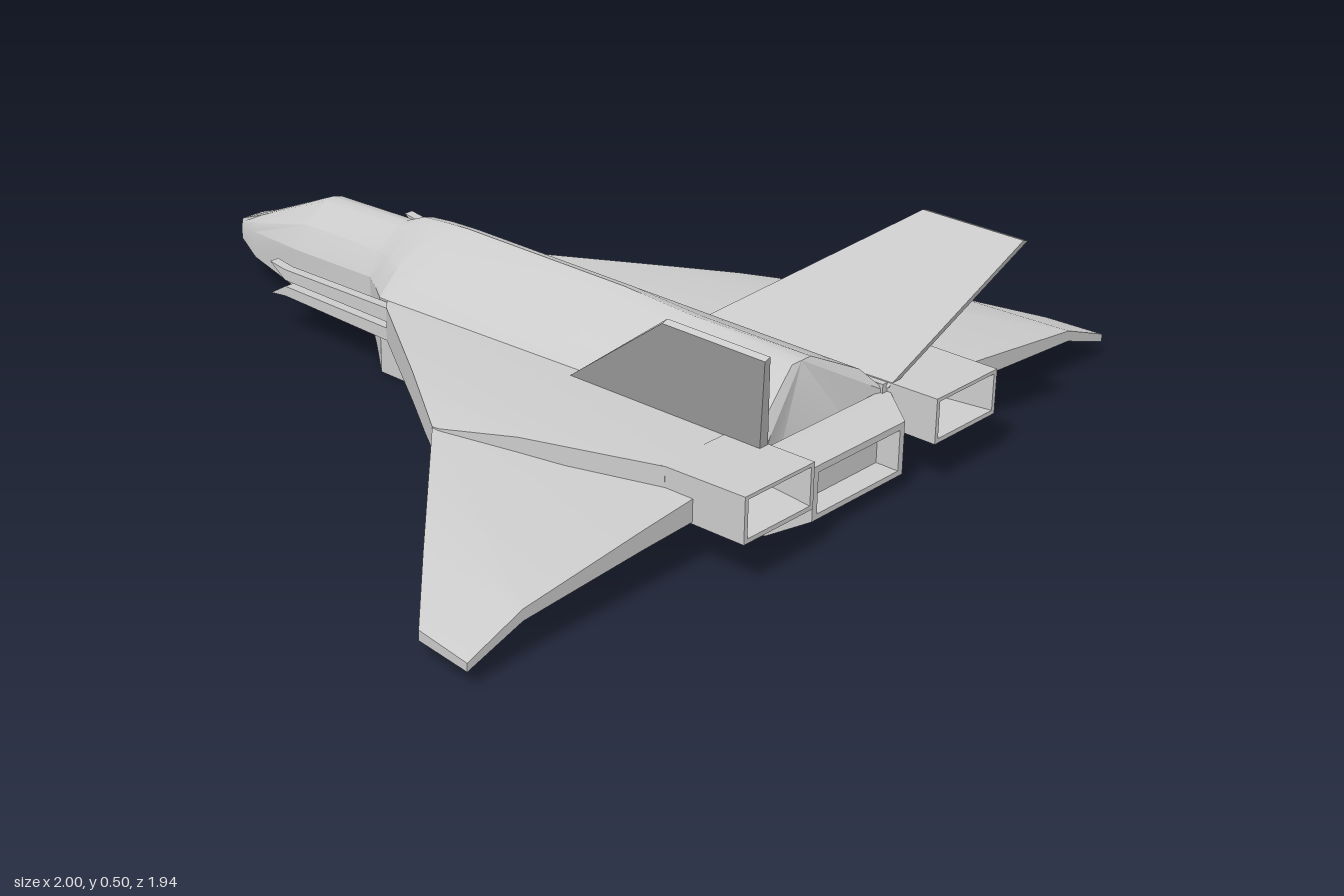
import * as THREE from 'three';
import { toCreasedNormals } from 'three/addons/utils/BufferGeometryUtils.js';

const material = new THREE.MeshStandardMaterial({ color: 0xcccccc });

// Skin a list of closed rings (arrays of [x, y, z]) and cap both ends, facing outward.
function loft(name, rings, crease = 0.45) {
  const tris = [];
  const n = rings[0].length;
  for (let i = 0; i < rings.length - 1; i++) {
    for (let j = 0; j < n; j++) {
      const k = (j + 1) % n;
      const [a, b, c, d] = [rings[i][j], rings[i][k], rings[i + 1][k], rings[i + 1][j]];
      tris.push([a, b, c], [a, c, d]);
    }
  }
  const last = rings[rings.length - 1];
  for (let j = 1; j < n - 1; j++) {
    tris.push([rings[0][0], rings[0][j + 1], rings[0][j]]);
    tris.push([last[0], last[j], last[j + 1]]);
  }
  // signed volume tells whether the winding must be reversed
  const v = (p) => new THREE.Vector3(...p);
  const volume = tris.reduce((s, [a, b, c]) => s + v(a).dot(v(b).cross(v(c))), 0);
  if (volume < 0) tris.forEach((t) => t.reverse());
  const geometry = new THREE.BufferGeometry();
  geometry.setAttribute('position', new THREE.Float32BufferAttribute(tris.flat(2), 3));
  const mesh = new THREE.Mesh(toCreasedNormals(geometry, crease), material);
  mesh.name = name;
  return mesh;
}

// Rectangle in the xy plane
const rect = (x0, x1, y0, y1, z) => [[x0, y0, z], [x1, y0, z], [x1, y1, z], [x0, y1, z]];

// Symmetric hull ring from its right half: ridge to bottom corner, z may vary per point
function hullRing(z, half) {
  const right = half.map(([x, y, pz = z]) => [x, y, pz]);
  const left = right.slice(1).reverse().map(([x, y, pz]) => [-x, y, pz]);
  return [...right, ...left];
}

function fuselage() {
  const body = (top) => [[0, top], [0.03, top - 0.01], [0.145, 0.235], [0.195, 0.18], [0.195, 0]];
  return loft('fuselage', [
    hullRing(-0.97, [[0, 0.14], [0.03, 0.14], [0.032, 0.13], [0.034, 0.12], [0.034, 0.09]]),
    hullRing(-0.9, [[0, 0.168], [0.027, 0.166], [0.043, 0.15], [0.053, 0.13], [0.053, 0.065]]),
    hullRing(-0.67, [[0, 0.268], [0.025, 0.262], [0.085, 0.22], [0.115, 0.165], [0.115, 0.065]]),
    hullRing(-0.42, [[0, 0.275], [0.025, 0.27], [0.085, 0.225], [0.115, 0.17], [0.115, 0.065]]),
    hullRing(-0.36, [[0, 0.3], [0.028, 0.292], [0.11, 0.232], [0.153, 0.175], [0.153, 0.033]]),
    hullRing(-0.3, [[0, 0.305], [0.03, 0.297], [0.14, 0.235], [0.195, 0.18], [0.195, 0]]),
    hullRing(-0.22, body(0.31)),
    hullRing(0.25, body(0.31)),
    hullRing(0.44, body(0.3)),
    // sloping rear bulkhead
    hullRing(0.8, [[0, 0.29, 0.73], [0.03, 0.29, 0.73], [0.145, 0.235, 0.765], [0.195, 0.18], [0.195, 0]]),
  ]);
}

// Tapered exhaust with a rectangular recess
function exhaust() {
  return loft('exhaustNozzle', [
    rect(-0.195, 0.195, 0, 0.18, 0.79),
    rect(-0.195, 0.195, 0, 0.18, 0.81),
    rect(-0.145, 0.145, 0.04, 0.158, 0.885),
    rect(-0.13, 0.13, 0.052, 0.143, 0.885),
    rect(-0.13, 0.13, 0.052, 0.143, 0.83),
  ], 0.2);
}

// Wing ring across the chord: front and rear x, z, top y, bottom y
const chord = (s, xf, xr, zf, zr, tf, tr, bf, br) => [
  [s * xf, tf, zf], [s * xr, tr, zr], [s * xr, br, zr], [s * xf, bf, zf],
];

// Everything carried on one side; s is +1 or -1
function sideAssembly(s) {
  const group = new THREE.Group();
  group.name = s > 0 ? 'leftSide' : 'rightSide';

  // thick inner wing narrowing to the kink in the leading edge
  group.add(loft('innerWing', [
    chord(s, 0.18, 0.18, -0.29, 0.8, 0.18, 0.2, 0.1, 0.1),
    chord(s, 0.222, 0.222, -0.25, 0.8, 0.18, 0.2, 0.1, 0.1),
    chord(s, 0.405, 0.405, 0.03, 0.73, 0.173, 0.2, 0.103, 0.103),
    chord(s, 0.49, 0.49, 0.155, 0.42, 0.168, 0.186, 0.106, 0.105),
    chord(s, 0.54, 0.54, 0.23, 0.25, 0.162, 0.164, 0.11, 0.11),
  ], 0.2));

  // thin outer wing drooping to the tip
  group.add(loft('outerWing', [
    chord(s, 0.36, 0.36, 0.15, 0.8, 0.16, 0.16, 0.106, 0.108),
    chord(s, 0.54, 0.54, 0.23, 0.8, 0.16, 0.142, 0.11, 0.1),
    chord(s, 0.84, 0.86, 0.52, 0.8, 0.108, 0.105, 0.082, 0.08),
    chord(s, 0.985, 1, 0.66, 0.8, 0.057, 0.053, 0.035, 0.035),
  ], 0.2));

  // hollow tail box behind the inner wing
  const box = (x0, x1, y0, y1, z) => rect(s * x0, s * x1, y0, y1, z);
  group.add(loft('tailBox', [
    box(0.195, 0.405, 0.102, 0.2, 0.72),
    box(0.195, 0.4, 0.102, 0.203, 0.925),
    box(0.205, 0.39, 0.112, 0.195, 0.925),
    box(0.205, 0.35, 0.122, 0.188, 0.8),
  ], 0.2));

  // outward canted fin
  group.add(loft('tailFin', [
    [[0.19, 0.19, 0.3], [0.19, 0.19, 0.805], [0.215, 0.19, 0.805], [0.215, 0.19, 0.3]],
    [[0.395, 0.5, 0.72], [0.395, 0.5, 0.968], [0.41, 0.495, 0.968], [0.41, 0.495, 0.72]],
  ].map((ring) => ring.map(([x, y, z]) => [s * x, y, z])), 0.2));

  // forward fork: two parallel prongs with slanted tips
  const prongs = { upperProng: [0.145, 0.178], lowerProng: [0.13, 0.1] };
  for (const [name, [inner, outer]] of Object.entries(prongs)) {
    const profile = (x) => [
      [s * x, outer, -0.24], [s * x, inner, -0.24], [s * x, inner, -0.59],
      [s * x, outer, -0.64], [s * x, outer + (inner - outer) * 0.2, -0.59],
    ];
    // the notch sits behind the raised tip, so the prong is skinned in two convex pieces
    const [a, b, c, d, e] = profile(0.198);
    const [f, g, h, i, j] = profile(0.222);
    const prong = new THREE.Group();
    prong.name = name;
    prong.add(loft('prongShaft', [[a, b, c, e], [f, g, h, j]], 0.2));
    prong.add(loft('prongTip', [[c, d, e], [h, i, j]], 0.2));
    group.add(prong);
  }
  return group;
}

export function createModel() {
  const model = new THREE.Group();
  model.name = 'jetAircraft';
  model.add(fuselage(), exhaust(), sideAssembly(1), sideAssembly(-1));
  return model;
}
